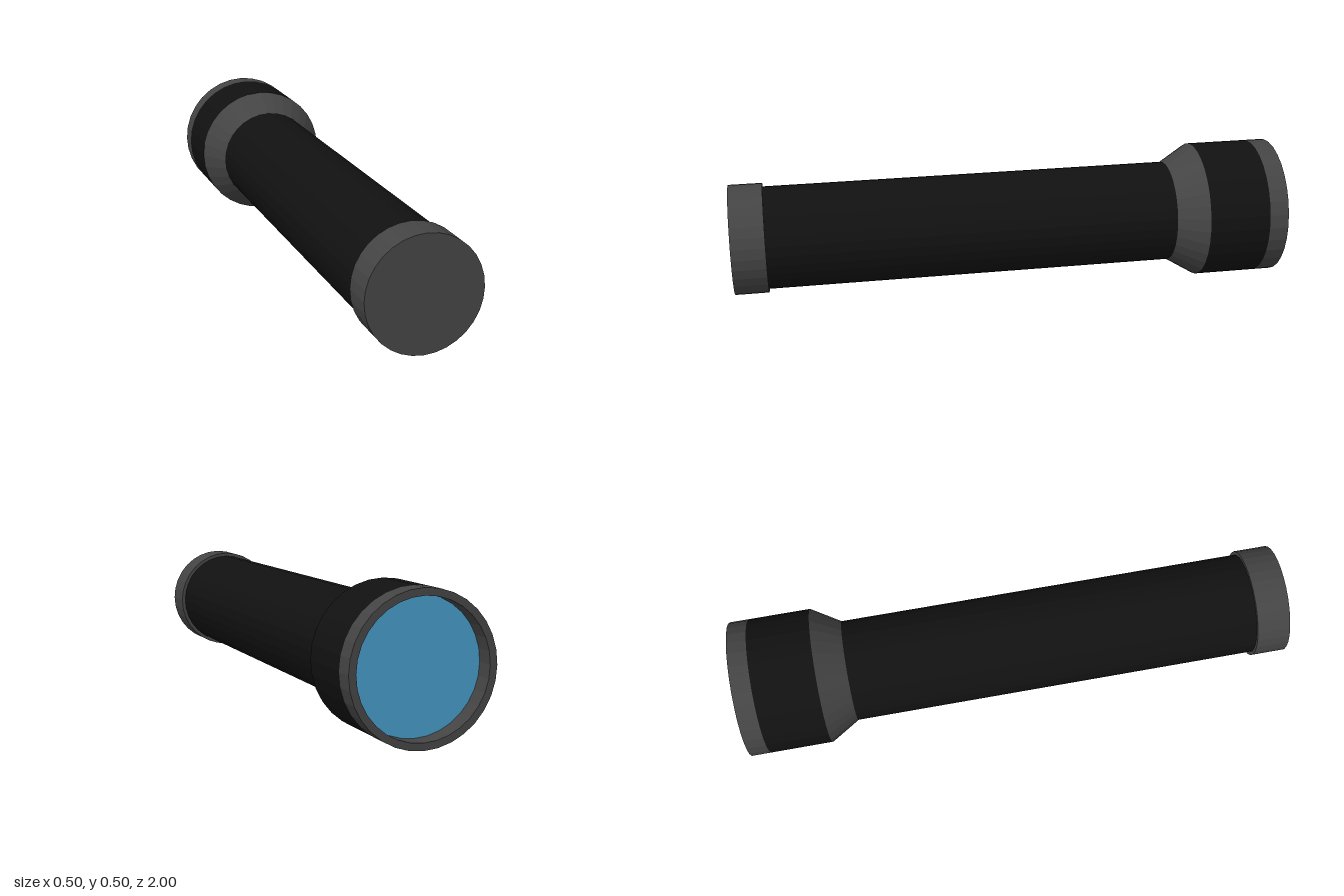
import * as THREE from 'three';

const SIDES = 32;
const AXIS_Y = 0.2475;

export function createModel() {
  const flat = (name, color) => {
    const m = new THREE.MeshStandardMaterial({ color, flatShading: true });
    m.name = name;
    return m;
  };
  const black = flat('black', 0x111111);
  const gray = flat('darkGray', 0x444444);
  const blue = flat('lensBlue', 0x4498c4);

  const torch = new THREE.Group();
  torch.name = 'flashlight';

  const add = (name, geometry, material) => {
    geometry.rotateX(Math.PI / 2); // lay the turning axis along z
    const mesh = new THREE.Mesh(geometry, material);
    mesh.name = name;
    mesh.position.y = AXIS_Y;
    torch.add(mesh);
  };

  // Closed round section running from zBack to zFront
  const section = (name, material, zBack, zFront, rBack, rFront = rBack) => {
    const g = new THREE.CylinderGeometry(rFront, rBack, zFront - zBack, SIDES);
    g.translate(0, (zFront + zBack) / 2, 0);
    add(name, g, material);
  };

  section('tailCap', gray, 0.88, 1, 0.197);
  section('barrel', black, -0.6, 0.88, 0.184);
  section('headCone', gray, -0.705, -0.6, 0.2475, 0.184);
  section('head', black, -0.93, -0.705, 0.2475);

  // Open rim around the recessed lens
  const rim = [[0.223, -1], [0.2475, -1], [0.2475, -0.93], [0.223, -0.93], [0.223, -1]]
    .map(([r, z]) => new THREE.Vector2(r, z));
  add('lensRim', new THREE.LatheGeometry(rim, SIDES), gray);

  section('lens', blue, -0.935, -0.93, 0.223);

  return torch;
}
